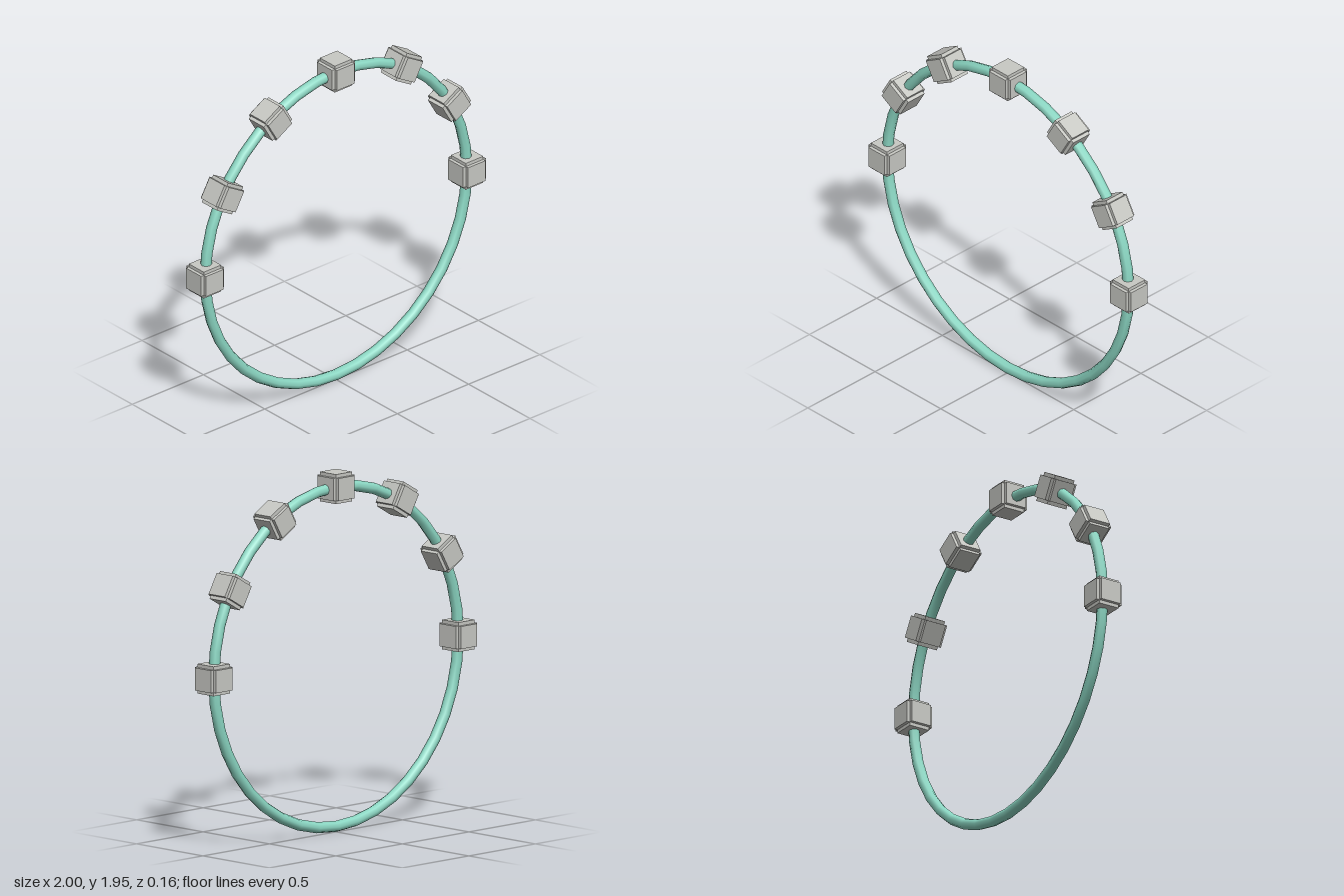
import * as THREE from 'three';

const RING_RADIUS = 0.918, TUBE = 0.03, CENTER_Y = 0.955;
const LONG = 0.16, SHORT = 0.122;

export function createModel() {
  const teal = new THREE.MeshStandardMaterial({ color: 0x8cd8c4 });
  teal.name = 'teal band';
  const gray = new THREE.MeshStandardMaterial({ color: 0xc8c9c4 });
  gray.name = 'light gray beads';

  const model = new THREE.Group();
  model.name = 'beadedRing';

  // Thin upright hoop
  const hoop = new THREE.Mesh(new THREE.TorusGeometry(RING_RADIUS, TUBE, 8, 40), teal);
  hoop.name = 'hoop';
  hoop.position.y = CENTER_Y;
  model.add(hoop);

  // Each bead is three crossed blocks, giving a cube with stepped edges
  const blocks = {
    beadBlockX: new THREE.BoxGeometry(LONG, SHORT, SHORT),
    beadBlockY: new THREE.BoxGeometry(SHORT, LONG, SHORT),
    beadBlockZ: new THREE.BoxGeometry(SHORT, SHORT, LONG),
  };

  // Seven beads spread over the upper half, turned to follow the hoop
  for (let i = 0; i < 7; i++) {
    const angle = (i * Math.PI) / 6;
    const bead = new THREE.Group();
    bead.name = `bead${i + 1}`;
    for (const [name, geometry] of Object.entries(blocks)) {
      const block = new THREE.Mesh(geometry, gray);
      block.name = name;
      bead.add(block);
    }
    bead.position.set(0.92 * Math.cos(angle), CENTER_Y + 0.92 * Math.sin(angle), 0);
    bead.rotation.z = angle;
    model.add(bead);
  }

  return model;
}
